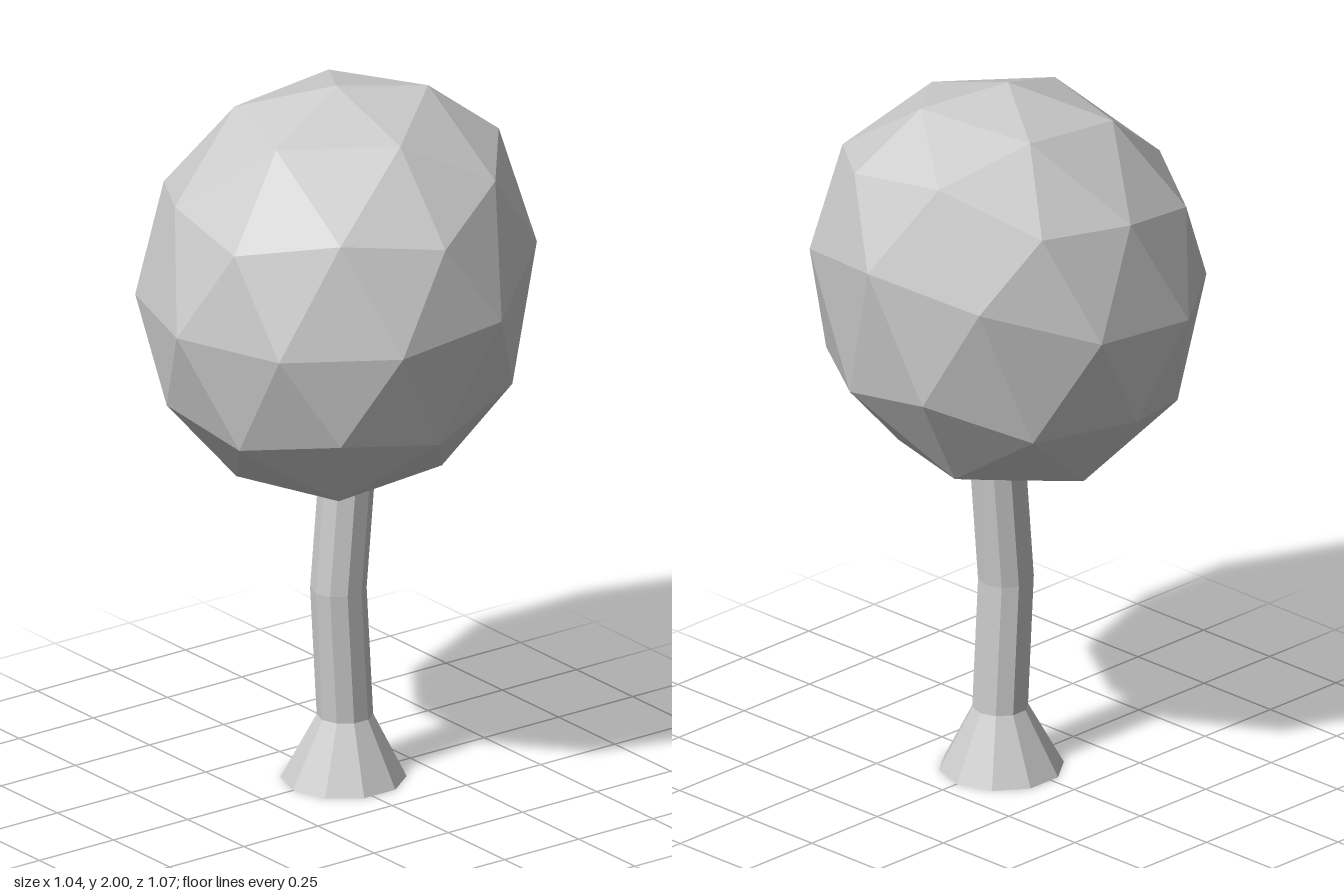
import * as THREE from 'three';

const material = new THREE.MeshStandardMaterial({ color: 0xcccccc, flatShading: true });

// Runs a rule over every vertex, then refreshes the normals
function deform(geometry, rule) {
  const pos = geometry.attributes.position;
  const v = new THREE.Vector3();
  for (let i = 0; i < pos.count; i++) {
    rule(v.fromBufferAttribute(pos, i));
    pos.setXYZ(i, v.x, v.y, v.z);
  }
  geometry.computeVertexNormals();
  return geometry;
}

// Trunk: flared foot, narrow neck and a slight bend, from four rings
function makeTrunk() {
  const rings = [ // height, radius, z offset
    [0, 0.17, -0.025],
    [0.18, 0.076, -0.03],
    [0.55, 0.076, -0.008],
    [0.98, 0.076, -0.046],
  ];
  const geometry = deform(new THREE.CylinderGeometry(1, 1, 3, 10, 3), (v) => {
    const [y, r, z] = rings[Math.round(v.y + 1.5)];
    v.set(v.x * r, y, v.z * r + z);
  });
  const trunk = new THREE.Mesh(geometry, material);
  trunk.name = 'trunk';
  return trunk;
}

// Crown: faceted ball with one corner straight up, its back pulled upwards
function makeCrown() {
  const centerY = 1.415;
  const geometry = new THREE.IcosahedronGeometry(1, 1);
  geometry.rotateZ(-Math.atan(2 / (1 + Math.sqrt(5))));
  geometry.scale(0.545, 0.585, 0.537);
  deform(geometry, (v) => {
    const h = v.y;
    const reach = Math.abs(v.z) / 0.537;
    if (v.z < 0) {
      const lift = 1 + Math.max(-0.38, Math.min(0, 1.5 * h));
      v.y += 0.19 * Math.pow(reach, 1.7) * lift;
      v.z += 0.1 * h * reach;
    } else {
      v.y -= 0.018 * reach;
    }
    v.y += centerY;
  });
  const crown = new THREE.Mesh(geometry, material);
  crown.name = 'crown';
  return crown;
}

export function createModel() {
  const tree = new THREE.Group();
  tree.name = 'tree';
  tree.add(makeTrunk(), makeCrown());
  return tree;
}
